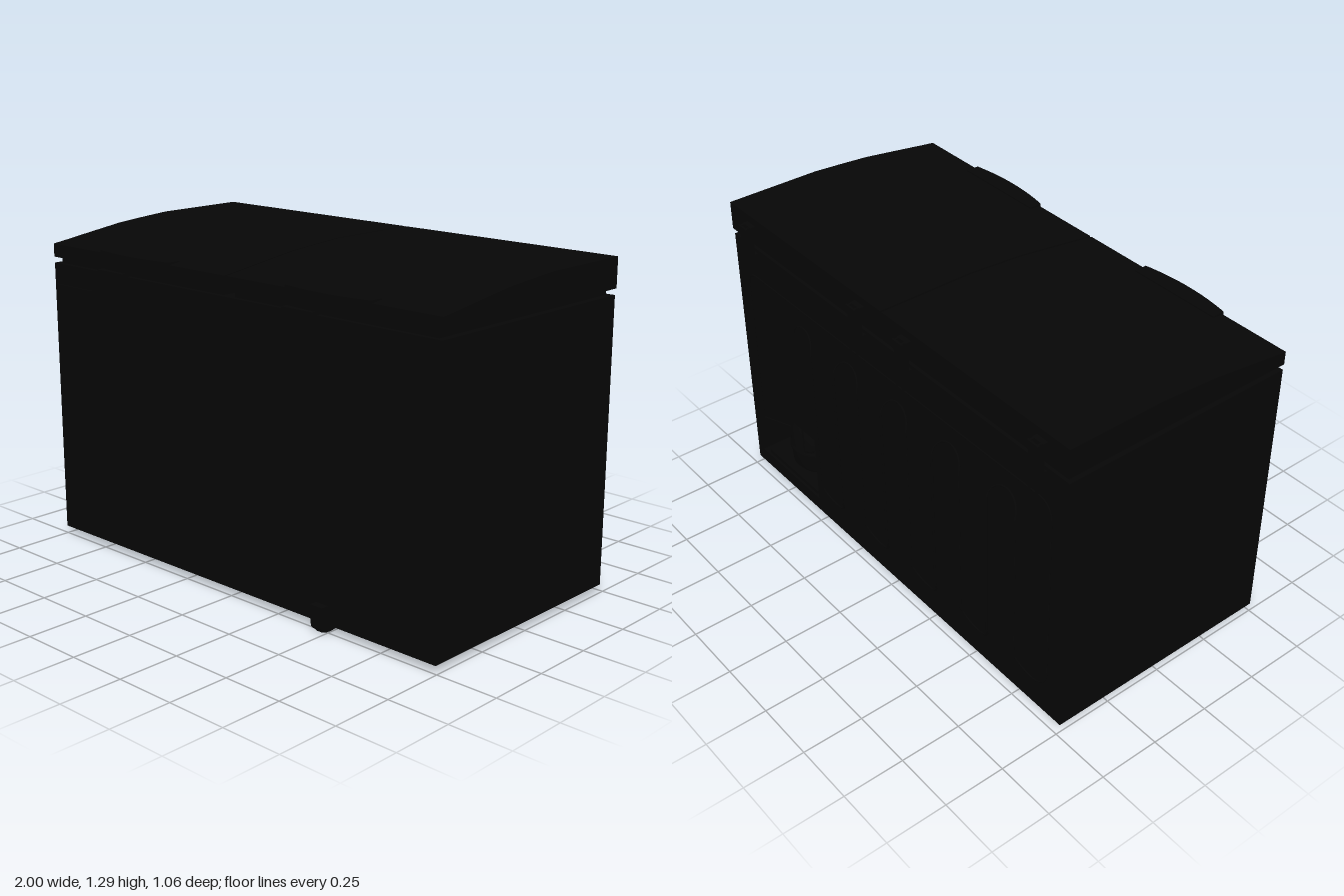
import * as THREE from 'three';
import { RoundedBoxGeometry } from 'three/addons/geometries/RoundedBoxGeometry.js';

export function createModel() {
  const root = new THREE.Group();
  root.name = 'chestFreezer';
  const black = new THREE.MeshStandardMaterial({ color: 0x060606 });

  const add = (name, geo, parent = root) => {
    const mesh = new THREE.Mesh(geo, black);
    mesh.name = name;
    parent.add(mesh);
    return mesh;
  };
  // Box given by its limits on each axis
  const box = (name, x0, x1, y0, y1, z0, z1, parent) => {
    const m = add(name, new THREE.BoxGeometry(x1 - x0, y1 - y0, z1 - z0), parent);
    m.position.set((x0 + x1) / 2, (y0 + y1) / 2, (z0 + z1) / 2);
    return m;
  };
  // Drop box faces by number: 0 +x, 1 -x, 2 +y, 3 -y, 4 +z, 5 -z
  const openFaces = (mesh, ...faces) => {
    const index = Array.from(mesh.geometry.index.array);
    mesh.geometry.setIndex(index.filter((_, i) => !faces.includes(Math.floor(i / 6))));
    return mesh;
  };
  // Turn a box into a recess whose faces look inward
  const inward = mesh => {
    mesh.geometry.scale(-1, 1, 1);
    mesh.geometry.computeVertexNormals();
  };
  const polygon = pts => new THREE.Shape(pts.map(p => new THREE.Vector2(...p)));
  const rect = (x0, x1, y0, y1) => polygon([[x0, y0], [x1, y0], [x1, y1], [x0, y1]]);
  // Flat panel with a rectangular opening
  const frame = (outer, hole) => {
    const shape = rect(...outer);
    shape.holes.push(rect(...hole));
    return new THREE.ShapeGeometry(shape);
  };
  // Side profile of [z, y] points extruded from x0 to x1
  const sideExtrude = (pts, x0, x1) =>
    new THREE.ExtrudeGeometry(polygon(pts), { depth: x1 - x0, bevelEnabled: false })
      .rotateY(-Math.PI / 2).translate(x1, 0, 0);

  // Cabinet shell; the back has a compressor bay, the underside a shallow recess
  openFaces(box('cabinet', -0.998, 0.998, 0.033, 1.154, -0.482, 0.504), 3, 5);
  add('cabinetBack', frame([-0.998, 0.998, 0.033, 1.154], [-0.96, -0.53, 0.09, 0.4])
    .rotateY(Math.PI).translate(0, 0, -0.482));
  inward(openFaces(box('compressorBay', 0.53, 0.96, 0.09, 0.4, -0.482, -0.2), 5));
  add('cabinetBase', frame([-0.998, 0.998, -0.482, 0.504], [-0.975, 0.975, -0.46, 0.482])
    .rotateX(Math.PI / 2).translate(0, 0.033, 0));
  inward(openFaces(box('baseRecess', -0.975, 0.975, 0.033, 0.063, -0.46, 0.482), 3));
  box('controlPanel', -0.99, -0.77, 0.96, 1.07, 0.5, 0.509);

  // Compressor: domed pot on a mounting plate
  const potProfile = [[0, 0.1], [0.09, 0.1], [0.115, 0.13], [0.12, 0.2], [0.125, 0.205],
    [0.125, 0.22], [0.118, 0.225], [0.112, 0.3], [0.08, 0.345], [0, 0.36]];
  add('compressor', new THREE.LatheGeometry(potProfile.map(p => new THREE.Vector2(...p)), 28))
    .position.set(0.73, 0, -0.335);
  box('compressorPlate', 0.56, 0.92, 0.09, 0.105, -0.47, -0.21);
  box('compressorRelay', 0.84, 0.89, 0.16, 0.26, -0.38, -0.29);

  // Two domed lids, each with gasket, handle and lock
  const lidProfile = [[-0.487, 1.178], [0.504, 1.178], [0.504, 1.231], [0.455, 1.237],
    [0.31, 1.257], [0.16, 1.277], [0.03, 1.287], [-0.09, 1.295], [-0.487, 1.295]];
  for (const side of [-1, 1]) {
    const lid = new THREE.Group();
    lid.name = side < 0 ? 'rightLid' : 'leftLid';
    root.add(lid);
    const [x0, x1] = side < 0 ? [-1, -0.004] : [0.004, 1];
    add('lidPanel', sideExtrude(lidProfile, x0, x1), lid);
    openFaces(box('gasket', side < 0 ? -0.97 : 0.03, side < 0 ? -0.03 : 0.97,
      1.154, 1.178, -0.465, 0.487, lid), 2, 3);

    const grip = new THREE.Shape();
    grip.moveTo(-0.2, -0.455);
    grip.lineTo(-0.2, -0.508);
    grip.quadraticCurveTo(0, -0.548, 0.2, -0.508);
    grip.lineTo(0.2, -0.455);
    const handle = add('handle',
      new THREE.ExtrudeGeometry(grip, { depth: 0.069, bevelEnabled: false, curveSegments: 16 }), lid);
    handle.rotation.x = -Math.PI / 2;
    handle.position.set(0.5 * side, 1.172, 0);
    const lockX = side < 0 ? -0.7 : 0.3;
    box('lock', lockX, lockX + 0.15, 1.11, 1.167, 0.49, 0.525, lid);
  }

  // Hinges: bars on the lid joined by two cheeks, and a strap down the back
  for (const x of [-0.87, -0.15, 0.13, 0.85]) {
    const hinge = new THREE.Group();
    hinge.name = 'hinge';
    hinge.position.x = x;
    root.add(hinge);
    box('hingeOuterBar', -0.028, 0.028, 1.23, 1.265, -0.531, -0.522, hinge);
    box('hingeInnerBar', -0.028, 0.028, 1.23, 1.265, -0.509, -0.485, hinge);
    box('hingeStrap', -0.025, 0.025, 1.065, 1.235, -0.509, -0.498, hinge);
    for (const s of [-0.019, 0.019])
      box('hingeCheek', s - 0.004, s + 0.004, 1.065, 1.265, -0.526, -0.498, hinge);
    box('hingeMount', -0.02, 0.02, 1.08, 1.14, -0.5, -0.48, hinge);
  }

  // Condenser pipe: up and across the top, then a serpentine back to the compressor
  const wall = -0.491, out = -0.516, pitch = 0.153, r = pitch / 2, startX = -0.928;
  const pts = [[0.85, 0.24, -0.4], [0.91, 0.3, wall]];
  for (const [cx, from] of [[0.85, 0], [-0.868, Math.PI / 2]])
    for (let k = 0; k <= 5; k++) {
      const a = from + Math.PI * k / 10;
      pts.push([cx + 0.06 * Math.cos(a), 0.968 + 0.06 * Math.sin(a), wall]);
    }
  for (let i = 0; i < 10; i++) {
    const top = i % 2, x = startX + i * pitch;
    const zA = i === 0 ? wall : out, zB = i === 9 ? wall : out;
    for (let k = 0; k <= 10; k++) {
      const a = Math.PI * k / 10, lift = Math.sin(a);
      const edge = k < 5 ? zA : zB;
      pts.push([x + r - r * Math.cos(a), top ? 0.875 + r * lift : 0.24 - r * lift,
        edge + (wall - edge) * lift]);
    }
  }
  pts.push([0.602, 0.3, wall], [0.61, 0.27, -0.45], [0.66, 0.25, -0.36]);
  const pipe = new THREE.CurvePath();
  for (let i = 1; i < pts.length; i++)
    pipe.add(new THREE.LineCurve3(new THREE.Vector3(...pts[i - 1]), new THREE.Vector3(...pts[i])));
  add('condenserPipe', new THREE.TubeGeometry(pipe, 1500, 0.004, 6));

  // Tapered feet
  for (const x of [-0.838, 0.838]) for (const z of [-0.343, 0.343]) {
    const foot = add('foot',
      new THREE.CylinderGeometry(0.083, 0.073, 0.064, 4, 1).rotateY(Math.PI / 4).toNonIndexed());
    foot.geometry.computeVertexNormals();
    foot.position.set(x, 0.032, z);
  }

  // Drain spout at the lower front edge
  add('drainSpout', sideExtrude([[0.455, 0.008], [0.49, 0.004], [0.515, 0.006], [0.53, 0.02],
    [0.533, 0.04], [0.533, 0.105], [0.5, 0.105], [0.5, 0.04], [0.455, 0.04]], 0.445, 0.502));
  const cap = add('drainCap', new RoundedBoxGeometry(0.04, 0.03, 0.05, 2, 0.008));
  cap.position.set(0.4735, 0.016, 0.495);

  return root;
}
